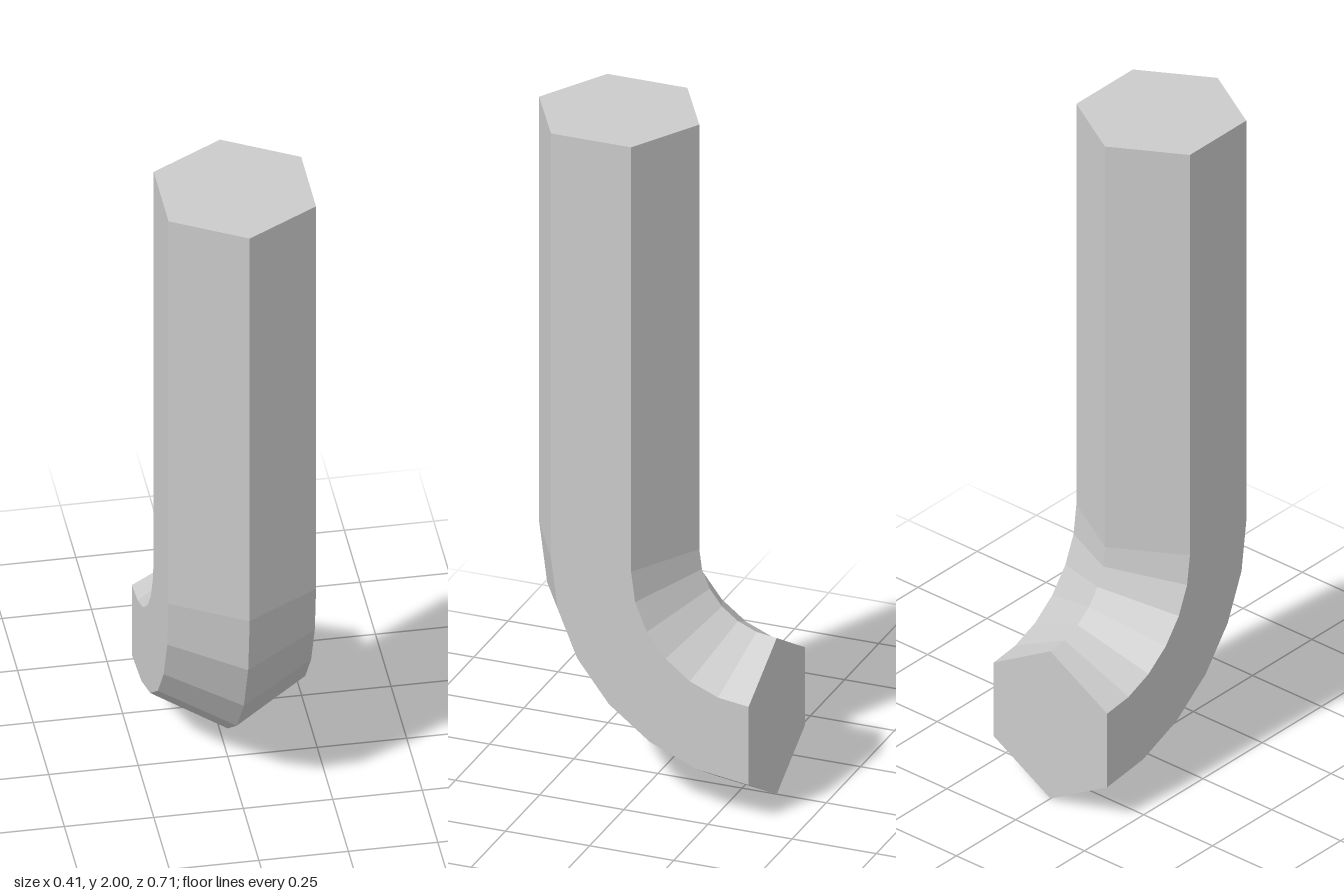
import * as THREE from 'three';

const SIDES = 6;
const HEX_RADIUS = 0.238;   // corner radius of the hexagonal bar
const BEND_RADIUS = 0.468;  // radius of the bend's centre line
const BEND_STEPS = 6;
const BEND_Y = 0.706, BEND_Z = -0.353; // centre of the bend
const TOP = 2;

// One hexagonal ring, turned by angle t around the bend centre and lifted
function hexRing(t, lift) {
  const ring = [];
  for (let k = 0; k < SIDES; k++) {
    const a = (k / SIDES) * Math.PI * 2;
    const r = BEND_RADIUS + HEX_RADIUS * Math.cos(a);
    ring.push([
      HEX_RADIUS * Math.sin(a),
      BEND_Y - r * Math.sin(t) + lift,
      BEND_Z + r * Math.cos(t),
    ]);
  }
  return ring;
}

// Skins the rings into a closed solid
function loft(rings) {
  const positions = rings.flat(2);
  const index = [];
  const last = (rings.length - 1) * SIDES;
  for (let i = 0; i < rings.length - 1; i++) {
    for (let k = 0; k < SIDES; k++) {
      const a = i * SIDES + k, b = i * SIDES + (k + 1) % SIDES;
      index.push(a, a + SIDES, b + SIDES, a, b + SIDES, b);
    }
  }
  // End caps
  for (let k = 1; k < SIDES - 1; k++) {
    index.push(0, k, k + 1);
    index.push(last, last + k + 1, last + k);
  }
  const indexed = new THREE.BufferGeometry();
  indexed.setAttribute('position', new THREE.Float32BufferAttribute(positions, 3));
  indexed.setIndex(index);
  const geometry = indexed.toNonIndexed();
  geometry.computeVertexNormals();
  return geometry;
}

export function createModel() {
  const group = new THREE.Group();
  group.name = 'bentHexBar';

  // Straight shaft from the top, then a quarter bend towards the back
  const rings = [hexRing(0, TOP - BEND_Y)];
  for (let i = 0; i <= BEND_STEPS; i++) {
    rings.push(hexRing((i / BEND_STEPS) * Math.PI / 2, 0));
  }

  const bar = new THREE.Mesh(
    loft(rings),
    new THREE.MeshStandardMaterial({ color: 0xcccccc, flatShading: true })
  );
  bar.name = 'hexBar';
  group.add(bar);
  return group;
}
